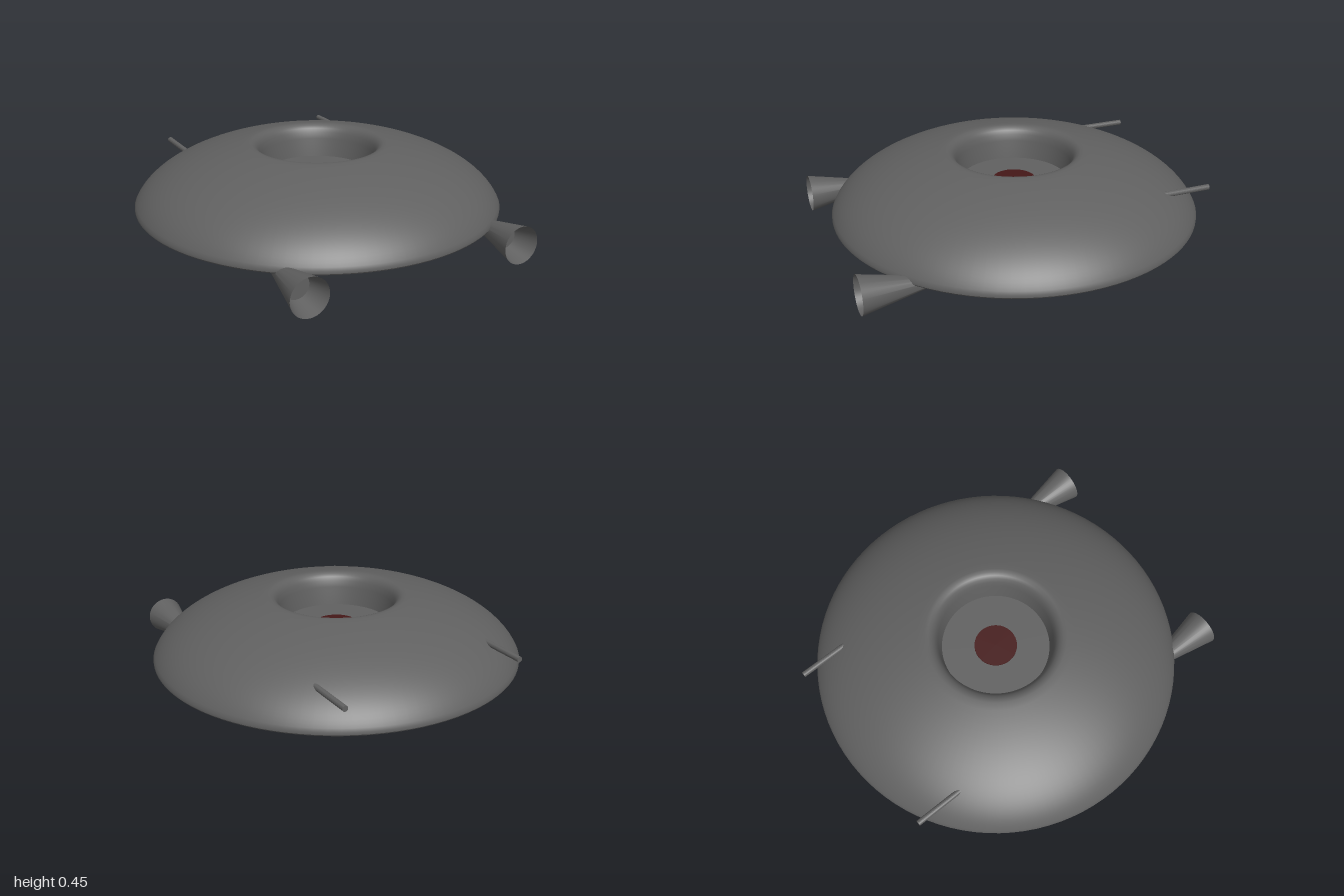
import * as THREE from 'three';
import { toCreasedNormals } from 'three/addons/utils/BufferGeometryUtils.js';

const HULL_Z = -0.013;

export function createModel() {
  const model = new THREE.Group();
  model.name = 'flyingSaucer';
  const darkGrey = new THREE.MeshStandardMaterial({ color: 0x606060 });
  const darkRed = new THREE.MeshStandardMaterial({ color: 0x451717 });

  const add = (name, geometry, material, x, y, z) => {
    const mesh = new THREE.Mesh(geometry, material);
    mesh.name = name;
    mesh.position.set(x, y, z);
    model.add(mesh);
  };
  const lathe = (points, segments) => toCreasedNormals(
    new THREE.LatheGeometry(points.map(([r, y]) => new THREE.Vector2(r, y)), segments), 0.6);

  // Hull: shallow belly, rounded rim, elliptical dome, rounded lip and sunken cockpit well
  const profile = [];
  for (let i = 0; i <= 12; i++) {
    const r = 0.972 * Math.sin((i / 12) * Math.PI / 2);
    profile.push([r, 0.098 + 0.017 * (r / 0.972) ** 2]);
  }
  profile.push([0.982, 0.118], [0.987, 0.125]);
  const rimAngle = Math.acos(0.987 / 1.004), lipAngle = Math.acos(0.375 / 1.004);
  for (let i = 0; i <= 24; i++) {
    const a = THREE.MathUtils.lerp(rimAngle, lipAngle, i / 24);
    profile.push([1.004 * Math.cos(a), 0.063 + 0.412 * Math.sin(a)]);
  }
  profile.push([0.355, 0.445], [0.338, 0.438], [0.325, 0.425], [0.314, 0.405],
    [0.306, 0.37], [0.291, 0.27], [0, 0.27]);
  add('hull', lathe(profile, 96), darkGrey, 0, 0, HULL_Z);

  // Red disc on the floor of the well
  add('cockpitDisc', new THREE.CylinderGeometry(0.115, 0.115, 0.008, 48), darkRed, 0, 0.272, HULL_Z);

  // Flared nozzles at the front and thin rods at the back
  const nozzle = lathe([[0, 0], [0.03, 0], [0.1, 0.33], [0.066, 0.2], [0, 0.2]], 40);
  nozzle.rotateX(Math.PI / 2);
  const rod = toCreasedNormals(new THREE.CylinderGeometry(0.015, 0.015, 0.36, 20), 0.6);
  rod.rotateX(Math.PI / 2);
  for (const [side, s] of [['left', 1], ['right', -1]]) {
    add(side + 'Nozzle', nozzle, darkGrey, s * 0.59, 0.1, 0.67);
    add(side + 'Rod', rod, darkGrey, s * 0.506, 0.287, -0.74);
  }
  return model;
}
